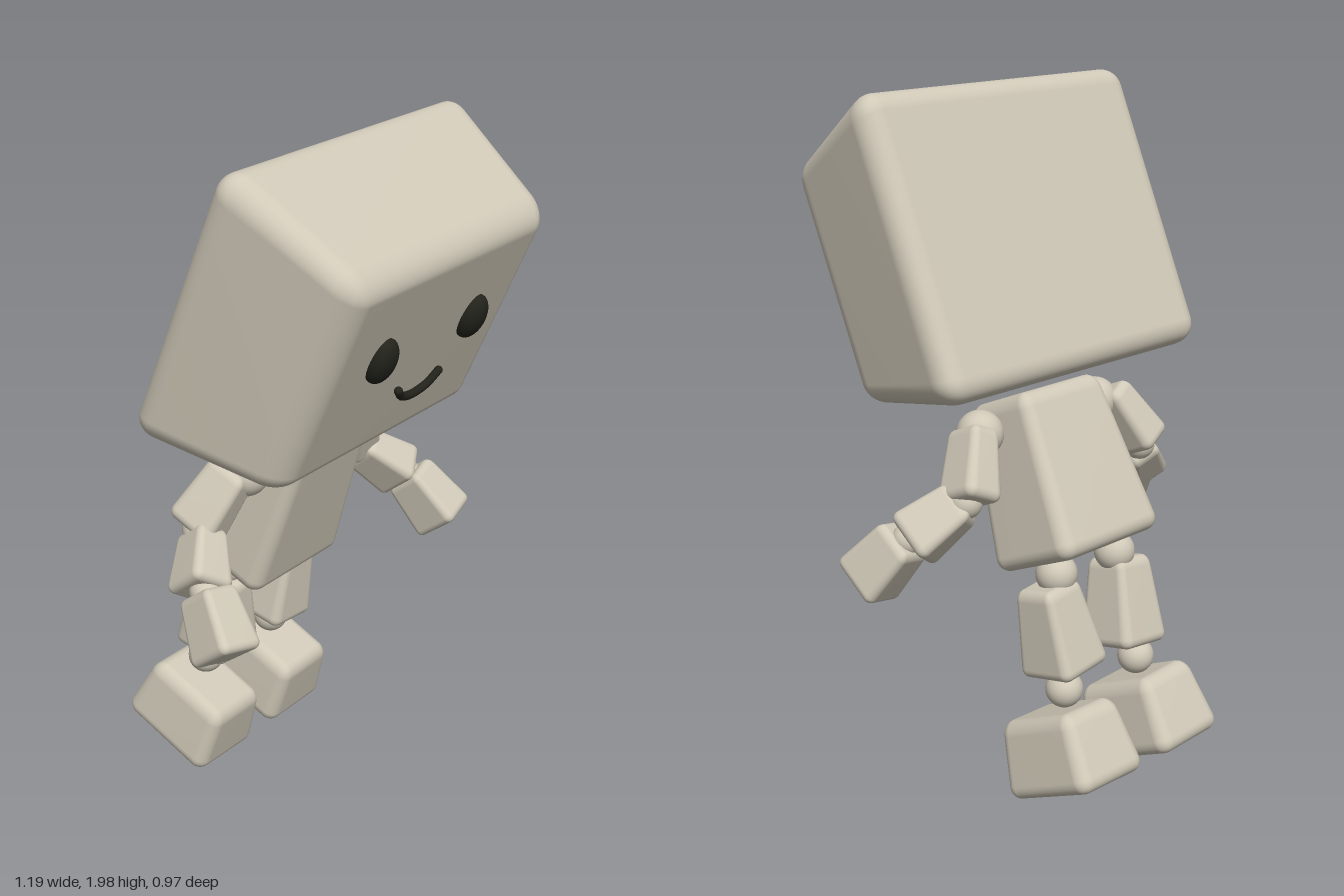
import * as THREE from 'three';
import { RoundedBoxGeometry } from 'three/addons/geometries/RoundedBoxGeometry.js';
import { mergeVertices } from 'three/addons/utils/BufferGeometryUtils.js';

const DEG = Math.PI / 180;

// Rounded block whose x/z section changes from [w0, d0] at the bottom to [w1, d1] at the top
function taperedBlock(h, [w0, d0], [w1, d1], r) {
  const box = new RoundedBoxGeometry(Math.max(w0, w1), h, Math.max(d0, d1), 5, r);
  box.deleteAttribute('uv');
  box.deleteAttribute('normal');
  const geo = mergeVertices(box, 1e-4);
  const p = geo.attributes.position;
  for (let i = 0; i < p.count; i++) {
    const t = p.getY(i) / h + 0.5;
    p.setX(i, p.getX(i) * THREE.MathUtils.lerp(w0, w1, t) / Math.max(w0, w1));
    p.setZ(i, p.getZ(i) * THREE.MathUtils.lerp(d0, d1, t) / Math.max(d0, d1));
  }
  geo.computeVertexNormals();
  return geo;
}

export function createModel() {
  const model = new THREE.Group();
  model.name = 'blockRobot';
  const shell = new THREE.MeshStandardMaterial({ color: 0xd0c9b8 });
  shell.name = 'warm grey';
  const dark = new THREE.MeshStandardMaterial({ color: 0x23231c });
  dark.name = 'near black';

  const add = (parent, name, geo, mat, pos, rx = 0, rz = 0) => {
    const mesh = new THREE.Mesh(geo, mat);
    mesh.name = name;
    mesh.position.set(...pos);
    mesh.rotation.set(rx * DEG, 0, rz * DEG);
    parent.add(mesh);
    return mesh;
  };
  // Left part plus its mirror image on the right
  const pair = (parent, name, geo, mat, [x, y, z], rx = 0, rz = 0) => {
    add(parent, 'left' + name, geo, mat, [x, y, z], rx, rz);
    add(parent, 'right' + name, geo, mat, [-x, y, z], rx, -rz);
  };
  const ball = (r) => new THREE.SphereGeometry(r, 28, 20);

  // Head, leaning forward and narrowing towards the face
  const head = new THREE.Group();
  head.name = 'head';
  head.position.set(0, 1.537, 0.159);
  head.rotation.x = 23.3 * DEG;
  model.add(head);
  const skull = taperedBlock(0.465, [1.06, 0.872], [0.88, 0.68], 0.075);
  skull.rotateX(Math.PI / 2);
  add(head, 'skull', skull, shell, [0, 0, 0]);

  // Face
  const eye = ball(1);
  eye.scale(0.048, 0.07, 0.038);
  pair(head, 'Eye', eye, dark, [0.21, 0.056, 0.238]);
  const smile = new THREE.CatmullRomCurve3(
    [[-0.094, -0.072], [-0.06, -0.104], [0, -0.117], [0.06, -0.104], [0.094, -0.072]]
      .map(([x, y]) => new THREE.Vector3(x, y, 0.266)));
  add(head, 'mouth', new THREE.TubeGeometry(smile, 32, 0.012, 10), dark, [0, 0, 0]);
  for (const end of [smile.getPoint(0), smile.getPoint(1)]) {
    add(head, 'mouthCorner', ball(0.012), dark, end.toArray());
  }

  // Torso
  add(model, 'torso', taperedBlock(0.48, [0.415, 0.317], [0.325, 0.237], 0.045), shell,
    [0, 0.916, -0.101], 22.5);

  // Arms
  pair(model, 'Shoulder', ball(0.067), shell, [0.241, 1.064, -0.032]);
  pair(model, 'UpperArm', taperedBlock(0.21, [0.125, 0.155], [0.09, 0.125], 0.028), shell,
    [0.324, 1.0, -0.08], 23, 26);
  pair(model, 'Elbow', ball(0.048), shell, [0.368, 0.912, -0.1]);
  pair(model, 'Forearm', taperedBlock(0.18, [0.135, 0.16], [0.095, 0.12], 0.026), shell,
    [0.425, 0.857, -0.045], -39, 40);
  pair(model, 'Wrist', ball(0.045), shell, [0.478, 0.805, 0.015]);
  pair(model, 'Hand', taperedBlock(0.19, [0.145, 0.165], [0.115, 0.13], 0.024), shell,
    [0.505, 0.735, 0.078], -38, 15);

  // Legs
  pair(model, 'Hip', ball(0.06), shell, [0.125, 0.665, -0.215]);
  pair(model, 'Leg', taperedBlock(0.26, [0.19, 0.196], [0.137, 0.132], 0.03), shell,
    [0.142, 0.511, -0.231], 11, -6);
  pair(model, 'Ankle', ball(0.054), shell, [0.157, 0.342, -0.276]);
  pair(model, 'Foot', taperedBlock(0.225, [0.268, 0.334], [0.212, 0.28], 0.042), shell,
    [0.171, 0.172, -0.302], 23.3, 1.5);

  return model;
}
